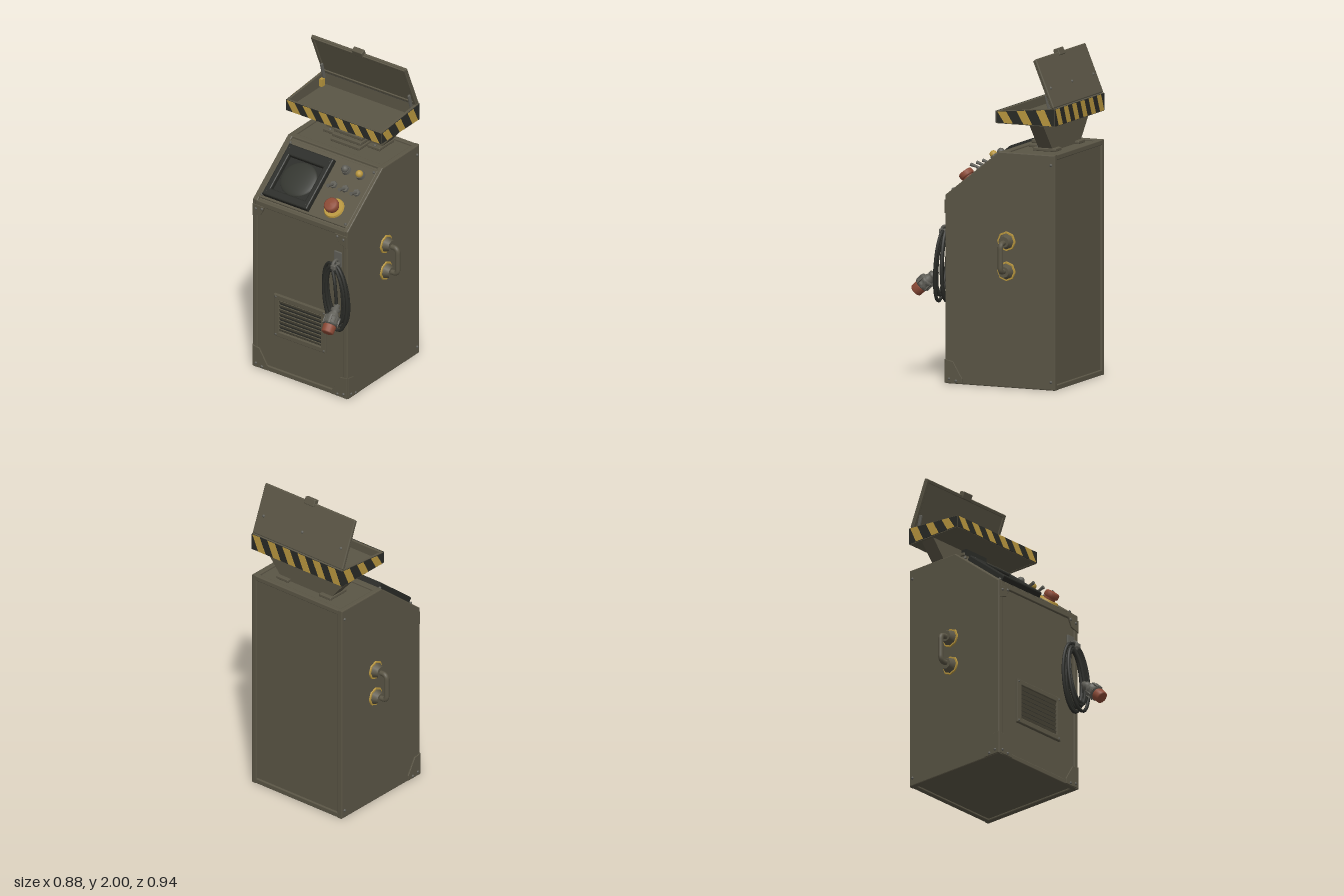
import * as THREE from 'three';
import { RoundedBoxGeometry } from 'three/addons/geometries/RoundedBoxGeometry.js';

const mat = (name, color, side = THREE.FrontSide) => {
  const m = new THREE.MeshStandardMaterial({ color, side });
  m.name = name;
  return m;
};

export function createModel() {
  const olive = mat('olive paint', 0x5a5545);
  const steel = mat('worn steel', 0x5f5e57);
  const dark = mat('dark rubber', 0x292a26);
  const glass = mat('screen glass', 0x343630);
  const yellow = mat('hazard yellow', 0xb8963e, THREE.DoubleSide);
  const red = mat('signal red', 0x8c4a36);
  const model = new THREE.Group();
  model.name = 'controlConsole';

  const add = (name, geo, m, x = 0, y = 0, z = 0, parent = model) => {
    const mesh = new THREE.Mesh(geo, m);
    mesh.name = name;
    mesh.position.set(x, y, z);
    parent.add(mesh);
    return mesh;
  };
  const group = (name, x, y, z, parent = model) => {
    const g = new THREE.Group();
    g.name = name;
    g.position.set(x, y, z);
    parent.add(g);
    return g;
  };
  const rbox = (w, h, d, r = 0.008) => new RoundedBoxGeometry(w, h, d, 2, r);
  const box = (w, h, d) => new THREE.BoxGeometry(w, h, d);
  const disc = (r1, r2, h, n = 20) => new THREE.CylinderGeometry(r1, r2, h, n).rotateX(Math.PI / 2);
  const poly = (pts) => new THREE.Shape(pts.map(([x, y]) => new THREE.Vector2(x, y)));
  const extrude = (shape, depth, bevel = 0) => new THREE.ExtrudeGeometry(shape, {
    depth, bevelEnabled: bevel > 0, bevelSize: bevel, bevelThickness: bevel, bevelOffset: -bevel, bevelSegments: 2,
  });
  const rect = (w, h, x = 0, y = 0) => [[x - w / 2, y - h / 2], [x + w / 2, y - h / 2], [x + w / 2, y + h / 2], [x - w / 2, y + h / 2]];
  const frame = (outer, hole, depth, bevel) => {
    const s = poly(outer);
    s.holes.push(poly(hole));
    return extrude(s, depth, bevel);
  };
  // Profiles given as [z, y], extruded across x
  const across = (pts) => pts.map(([z, y]) => [-z, y]);

  // Cabinet: inner shell, two side frames and the rails between them
  const outer = [[0.25, 0], [0.25, 1.13], [-0.1, 1.41], [-0.465, 1.41], [-0.465, 0]];
  const inset = (d) => [[0.25 - d, d], [0.25 - d, 1.13 - d * 0.5], [-0.1 - d * 0.4, 1.41 - d], [-0.465 + d, 1.41 - d], [-0.465 + d, d]];
  add('cabinetShell', extrude(poly(across(inset(0.012))), 0.676).rotateY(Math.PI / 2), olive, -0.338);
  for (const s of [-1, 1]) {
    add('sideFrame', frame(across(outer), across(inset(0.032)), 0.023, 0.006).rotateY(Math.PI / 2), olive, s * 0.332 - 0.0115);
  }
  for (const [y, z, h, d] of [[0.016, 0.234, 0.032, 0.032], [0.016, -0.449, 0.032, 0.032], [1.394, -0.449, 0.032, 0.032],
    [1.112, 0.234, 0.036, 0.034], [1.394, -0.12, 0.03, 0.04]]) {
    add('crossRail', rbox(0.66, h, d, 0.006), olive, 0, y, z);
  }

  // Corner guards on the front and sides, each with bolts
  const guard = extrude(poly([[0, 0], [0.11, 0], [0.11, 0.03], [0.05, 0.13], [0, 0.14]]), 0.006, 0.002);
  const topGuard = extrude(poly([[0, 0], [0.09, 0], [0.06, -0.06], [0, -0.08]]), 0.006, 0.002);
  const bolt = new THREE.SphereGeometry(0.009, 8, 6);
  const corner = (geo, x, y, z, turn, sy) => {
    const g = group('cornerGuard', x, y, z);
    g.rotation.y = turn;
    add('guardPlate', geo, olive, 0, 0, 0, g);
    add('bolt', bolt, steel, 0.025, sy * 0.025, 0.007, g);
    add('bolt', bolt, steel, 0.07, sy * 0.015, 0.007, g);
    return g;
  };
  corner(guard, -0.348, 0.004, 0.247, 0, 1);
  corner(guard, 0.348, 0.004, 0.247, 0, 1).scale.x = -1;
  corner(topGuard, -0.348, 1.1, 0.247, 0, -1);
  corner(topGuard, 0.348, 1.1, 0.247, 0, -1).scale.x = -1;
  corner(guard, 0.347, 0.004, 0.248, Math.PI / 2, 1);
  corner(guard, -0.347, 0.004, 0.248, -Math.PI / 2, 1).scale.x = -1;
  for (const s of [-1, 1]) for (const [y, z] of [[0.05, -0.44], [1.35, -0.44]]) add('sideBolt', bolt, steel, s * 0.35, y, z);

  // Ventilation grille
  const vent = group('ventGrille', 0, 0.4, 0.238);
  add('ventFrame', frame(rect(0.38, 0.28), rect(0.31, 0.215), 0.014, 0.004), olive, 0, 0, 0, vent);
  add('ventBack', box(0.31, 0.215, 0.003), dark, 0, 0, 0.001, vent);
  for (let i = 0; i < 8; i++) {
    add('ventSlat', box(0.31, 0.02, 0.005), olive, 0, -0.094 + i * 0.027, 0.008, vent).rotation.x = 0.45;
  }
  for (const x of [-0.177, 0.177]) for (const y of [-0.127, 0.127]) add('bolt', bolt, steel, x, y, 0.013, vent);

  // Sloped control panel; its local z is the panel normal
  const panel = group('controlPanel', 0, 1.27, 0.075);
  panel.rotation.x = -Math.atan2(0.35, 0.28);
  add('panelPlate', rbox(0.655, 0.4, 0.014, 0.005), olive, 0, 0, -0.006, panel);
  for (const x of [-0.305, 0.31]) for (const y of [-0.18, 0.18]) add('panelBolt', bolt, steel, x, y, 0.003, panel);

  // Monitor
  const monitor = group('monitor', -0.125, -0.01, 0, panel);
  add('monitorFrame', frame(rect(0.33, 0.35), rect(0.25, 0.23, 0, -0.01), 0.028, 0.008), dark, 0, 0, 0, monitor);
  add('monitorBack', box(0.28, 0.27, 0.004), dark, 0, 0, 0.004, monitor);
  add('monitorGlass', new THREE.SphereGeometry(1, 28, 16).scale(0.122, 0.112, 0.02), glass, 0, -0.01, 0.005, monitor);
  for (const x of [-0.145, 0.145]) for (const y of [-0.15, 0.15]) add('bolt', bolt, steel, x, y, 0.028, monitor);

  // Indicator lamps
  [[0.135, steel], [0.24, yellow]].forEach(([x, m]) => {
    add('lampCollar', disc(0.026, 0.03, 0.02, 12), steel, x, 0.135, 0.01, panel);
    add('lampBulb', new THREE.SphereGeometry(0.023, 16, 10), m, x, 0.135, 0.026, panel);
  });
  // Toggle switches
  for (const x of [0.105, 0.19, 0.275]) {
    add('toggleNut', disc(0.022, 0.024, 0.014, 6), steel, x, 0.025, 0.007, panel);
    const lever = add('toggleLever', disc(0.011, 0.007, 0.06, 10), steel, x, 0.008, 0.034, panel);
    lever.rotation.x = 0.6;
  }
  // Emergency stop button
  add('stopPlate', disc(0.06, 0.066, 0.012, 24), yellow, 0.185, -0.11, 0.006, panel);
  add('stopStem', disc(0.036, 0.036, 0.02), red, 0.185, -0.11, 0.02, panel);
  const cap = [[0, 0], [0.042, 0], [0.046, 0.01], [0.045, 0.03], [0.036, 0.038], [0, 0.042]].map(([x, y]) => new THREE.Vector2(x, y));
  add('stopButton', new THREE.LatheGeometry(cap, 20).rotateX(Math.PI / 2), red, 0.185, -0.11, 0.025, panel);

  // Side handles with octagonal mounts
  for (const s of [-1, 1]) {
    const handle = group('sideHandle', s * 0.34, 0.785, -0.145);
    handle.rotation.y = s * Math.PI / 2;
    for (const y of [-0.09, 0.09]) {
      add('handleTrim', disc(0.058, 0.06, 0.008, 8), yellow, 0, y, 0.002, handle);
      add('handleMount', disc(0.034, 0.05, 0.04, 8), olive, 0, y, 0.022, handle);
    }
    const path = new THREE.CurvePath();
    const v = (y, z) => new THREE.Vector3(0, y, z);
    path.add(new THREE.LineCurve3(v(-0.085, 0.02), v(-0.085, 0.06)));
    path.add(new THREE.QuadraticBezierCurve3(v(-0.085, 0.06), v(-0.085, 0.086), v(-0.055, 0.086)));
    path.add(new THREE.LineCurve3(v(-0.055, 0.086), v(0.055, 0.086)));
    path.add(new THREE.QuadraticBezierCurve3(v(0.055, 0.086), v(0.085, 0.086), v(0.085, 0.06)));
    path.add(new THREE.LineCurve3(v(0.085, 0.06), v(0.085, 0.02)));
    add('handleBar', new THREE.TubeGeometry(path, 48, 0.016, 10), olive, 0, 0, 0, handle);
  }

  // Neck and stepped bellows carrying the tray
  add('neck', extrude(poly([[-0.19, 1.41], [0.19, 1.41], [0.335, 1.585], [-0.335, 1.585]]), 0.09), olive, 0, 0, -0.38);
  for (const s of [-1, 1]) {
    add('neckFoot', rbox(0.09, 0.02, 0.15, 0.005), olive, s * 0.165, 1.417, -0.33);
    add('neckBolt', bolt, steel, s * 0.165, 1.428, -0.27);
  }
  for (let i = 0; i < 6; i++) {
    const front = -0.185 - i * 0.015;
    add('bellowsFold', rbox(0.216 - i * 0.004, 0.021, front + 0.3, 0.005), olive, 0.005, 1.42 + i * 0.026, (front - 0.3) / 2);
  }
  add('bellowsCore', box(0.18, 0.18, 0.06), dark, 0.005, 1.49, -0.28);

  // Open tray with sloping side walls
  const tray = group('tray', 0, 1.58, 0);
  add('trayFloor', box(0.69, 0.02, 0.37), olive, 0, 0.012, -0.272, tray);
  add('trayFront', rbox(0.7, 0.075, 0.016, 0.005), olive, 0, 0.0375, -0.09, tray);
  add('trayBack', rbox(0.7, 0.11, 0.016, 0.005), olive, 0, 0.055, -0.455, tray);
  const wall = extrude(poly(across([[-0.083, 0], [-0.083, 0.073], [-0.462, 0.11], [-0.462, 0]])), 0.016).rotateY(Math.PI / 2);
  for (const s of [-1, 1]) add('traySide', wall, olive, s * 0.342 - 0.008, 0, 0, tray);

  // Hazard bands: dark plate with slanted yellow stripes, heights h0 to h1
  const hazard = (w, h0, h1, x, z, turn) => {
    const g = group('hazardBand', x, 0.004, z, tray);
    g.rotation.y = turn;
    const top = (u) => h0 + (h1 - h0) * (u / w + 0.5);
    add('bandPlate', extrude(poly([[-w / 2, 0], [w / 2, 0], [w / 2, h1], [-w / 2, h0]]), 0.003), dark, 0, 0, 0, g);
    const n = Math.round(w / 0.118), step = w / n;
    for (let i = 0; i < n; i++) {
      const a = -w / 2 + i * step + 0.052, b = a + 0.056;
      const u = a - 0.045, t = b - 0.045;
      add('bandStripe', extrude(poly([[a, 0.001], [b, 0.001], [t, top(t) - 0.001], [u, top(u) - 0.001]]), 0.002), yellow, 0, 0, 0.003, g);
    }
  };
  hazard(0.7, 0.07, 0.07, 0, -0.082, 0);
  hazard(0.7, 0.102, 0.102, 0, -0.463, Math.PI);
  hazard(0.376, 0.067, 0.102, 0.35, -0.273, Math.PI / 2);
  hazard(0.376, 0.102, 0.067, -0.35, -0.273, -Math.PI / 2);

  // Raised lid, hinge and latch
  const lid = group('lid', 0, 1.69, -0.452);
  lid.rotation.x = 0.39;
  add('lidPanel', rbox(0.7, 0.31, 0.018, 0.007), olive, 0, 0.155, 0, lid);
  add('lidLip', frame(rect(0.69, 0.3), rect(0.655, 0.265), 0.006, 0.002), olive, 0, 0.155, 0.009, lid);
  add('lidLatch', rbox(0.078, 0.045, 0.036, 0.006), olive, 0, 0.31, 0.002, lid);
  for (const x of [-0.3, 0, 0.3]) add('lidBolt', bolt, steel, x, 0.12, -0.009, lid);
  add('hingeRod', new THREE.CylinderGeometry(0.011, 0.011, 0.67, 12).rotateZ(Math.PI / 2), steel, 0, 1.692, -0.445);
  for (const s of [-1, 1]) {
    add('lidStay', rbox(0.014, 0.11, 0.02, 0.004), steel, s * 0.322, 1.71, -0.41).rotation.x = 0.25;
    add('stayBase', box(0.02, 0.05, 0.03), yellow, s * 0.324, 1.635, -0.405);
  }

  // Cable hook and coiled cable
  add('hookPlate', rbox(0.055, 0.1, 0.012, 0.004), steel, 0.28, 0.93, 0.25);
  add('cableHook', new THREE.TorusGeometry(0.032, 0.009, 8, 18, Math.PI * 1.4).rotateY(Math.PI / 2), steel, 0.28, 0.9, 0.275);
  const coil = [];
  for (let i = 0; i <= 120; i++) {
    const a = Math.PI / 2 + i / 20 * Math.PI * 2, k = i / 20;
    const r = 0.9 + 0.12 * Math.sin(k * 2.4);
    coil.push(new THREE.Vector3(0.287 + 0.082 * r * Math.cos(a) + 0.012 * Math.sin(k * 1.7) - 0.02 * Math.sin(a),
      0.7 + 0.212 * r * Math.sin(a), 0.285 + 0.022 * Math.sin(k * 3.1)));
  }
  const plugTop = new THREE.Vector3(0.325, 0.655, 0.325);
  coil.push(new THREE.Vector3(0.3, 0.8, 0.31), plugTop);
  add('cableCoil', new THREE.TubeGeometry(new THREE.CatmullRomCurve3(coil), 300, 0.0105, 7), dark);
  add('cableTie', rbox(0.035, 0.03, 0.06, 0.006), steel, 0.285, 0.9, 0.285);

  // Plug hanging from the cable, ribbed and capped in red
  const plug = group('plug', plugTop.x, plugTop.y, plugTop.z);
  plug.quaternion.setFromUnitVectors(new THREE.Vector3(0, 1, 0), new THREE.Vector3(0.02, -0.115, 0.12).normalize());
  const lathe = (name, pts, m) => add(name, new THREE.LatheGeometry(pts.map(([r, y]) => new THREE.Vector2(r, y)), 16), m, 0, 0, 0, plug);
  lathe('plugSleeve', [[0, -0.015], [0.018, -0.012], [0.018, 0.01], [0.028, 0.014], [0.028, 0.03], [0.02, 0.034], [0.032, 0.05], [0.034, 0.07]], steel);
  lathe('plugBody', [[0.03, 0.06], [0.046, 0.064], [0.046, 0.078], [0.041, 0.082], [0.041, 0.098], [0.046, 0.102], [0.044, 0.12], [0, 0.122]], steel);
  lathe('plugCap', [[0.036, 0.118], [0.04, 0.125], [0.038, 0.165], [0.03, 0.172], [0, 0.172]], red);
  for (let i = 0; i < 8; i++) {
    const a = i * Math.PI / 4;
    add('plugRib', box(0.01, 0.05, 0.01), steel, 0.044 * Math.cos(a), 0.09, 0.044 * Math.sin(a), plug).rotation.y = -a;
  }
  return model;
}
